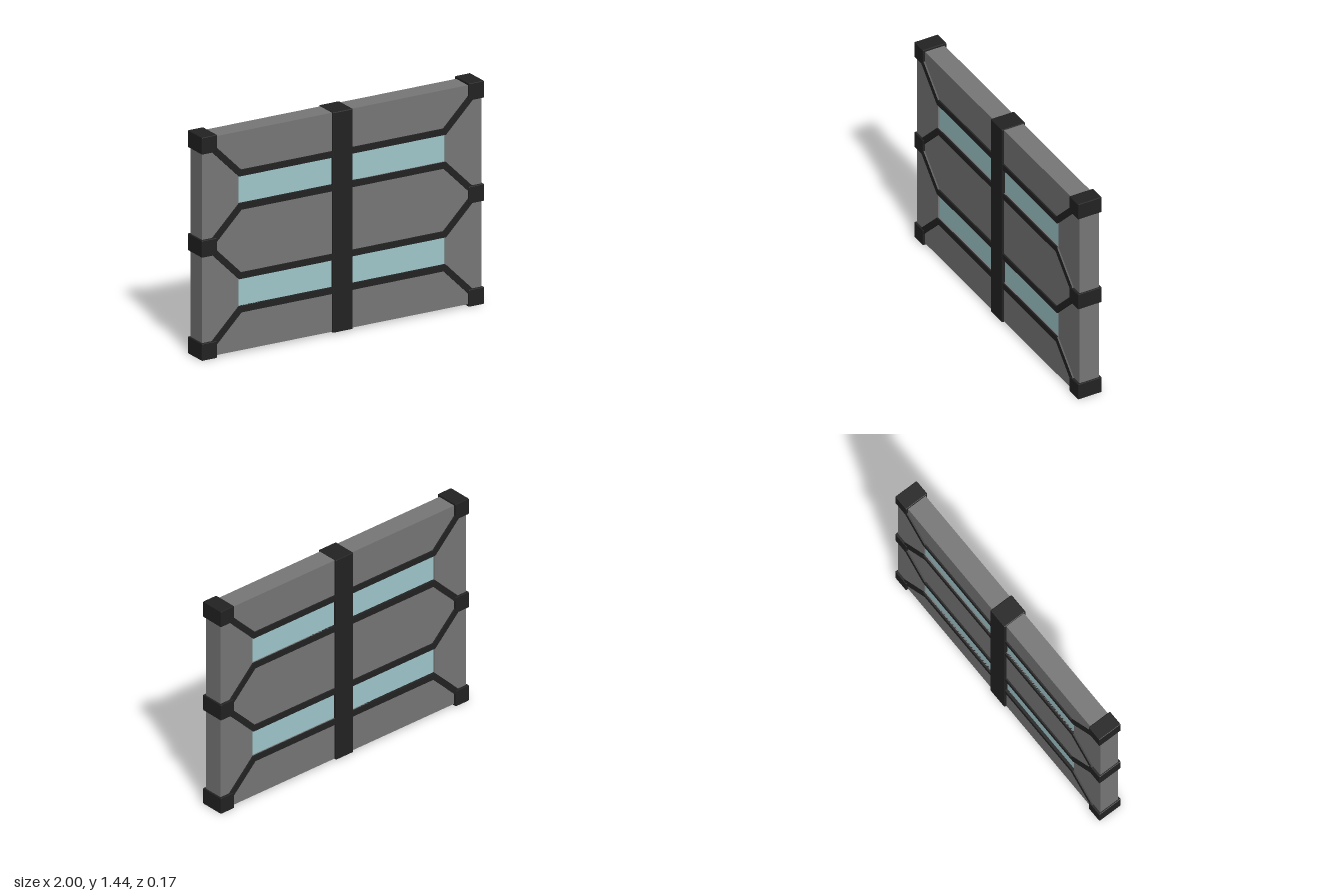
import * as THREE from 'three';
import { RoundedBoxGeometry } from 'three/addons/geometries/RoundedBoxGeometry.js';

const MID = 0.718; // height of the horizontal symmetry line

export function createModel() {
  const group = new THREE.Group();
  const material = (color) => new THREE.MeshStandardMaterial({ color, flatShading: true });
  const dark = material(0x222222);
  const grey = material(0x777777);
  const glass = material(0xa0c8cc);

  const add = (name, geometry, mat, x = 0, y = 0, z = 0) => {
    const mesh = new THREE.Mesh(geometry, mat);
    mesh.name = name;
    mesh.position.set(x, y, z);
    group.add(mesh);
    return mesh;
  };
  const polygon = (points, Type = THREE.Shape) =>
    new Type(points.map(([x, y]) => new THREE.Vector2(x, y)));
  const rectangle = (x, y0, y1, Type) =>
    polygon([[-x, y0], [x, y0], [x, y1], [-x, y1]], Type);
  const slab = (shape, halfDepth) =>
    new THREE.ExtrudeGeometry(shape, { depth: halfDepth * 2, bevelEnabled: false })
      .translate(0, 0, -halfDepth);

  // Wall panel with two long window openings
  const panel = rectangle(0.99, -0.704, 0.704);
  for (const s of [-1, 1]) {
    const edges = [s * 0.242, s * 0.418].sort((a, b) => a - b);
    panel.holes.push(rectangle(0.733, edges[0], edges[1], THREE.Path));
    add('windowPane', new THREE.BoxGeometry(1.466, 0.176, 0.12), glass, 0, MID + s * 0.33);
  }
  add('wallPanel', slab(panel, 0.068), grey, 0, MID);

  // Trim bars: straight across the wall, bent 45 degrees towards the blocks
  const trim = (y, rise) => {
    const w = 0.02, bend = 0.725, end = 0.945;
    const m = w * Math.tan(Math.PI / 8); // mitre offset at the bend
    const run = end - bend;
    const upper = [[-end - m, y + w + run], [-bend - m, y + w], [bend + m, y + w], [end + m, y + w + run]];
    const lower = [[end - m, y - w + run], [bend - m, y - w], [-bend + m, y - w], [-end + m, y - w + run]];
    // the mitre leans inwards on the side the bar bends to
    const fix = ([x, yy], k) => [x + Math.sign(x) * k * 2 * m, yy];
    const points = [...upper.map((p) => fix(p, -1)), ...lower.map((p) => fix(p, 1))];
    return polygon(points.map(([x, yy]) => [x, rise > 0 ? yy : 2 * y - yy]));
  };
  for (const [y, rise] of [[0.438, 1], [0.222, -1], [-0.222, 1], [-0.438, -1]]) {
    add('trimBar', slab(trim(y, rise), 0.078), dark, 0, MID);
  }

  // Central post
  add('centrePost', new RoundedBoxGeometry(0.14, 1.418, 0.163, 1, 0.005), dark, 0, MID);

  // Edge blocks at the corners and half height
  for (const x of [-0.9465, 0.9465]) {
    for (const y of [0.055, MID, 2 * MID - 0.055]) {
      add('edgeBlock', new RoundedBoxGeometry(0.107, 0.11, 0.165, 1, 0.004), dark, x, y);
    }
  }
  return group;
}
